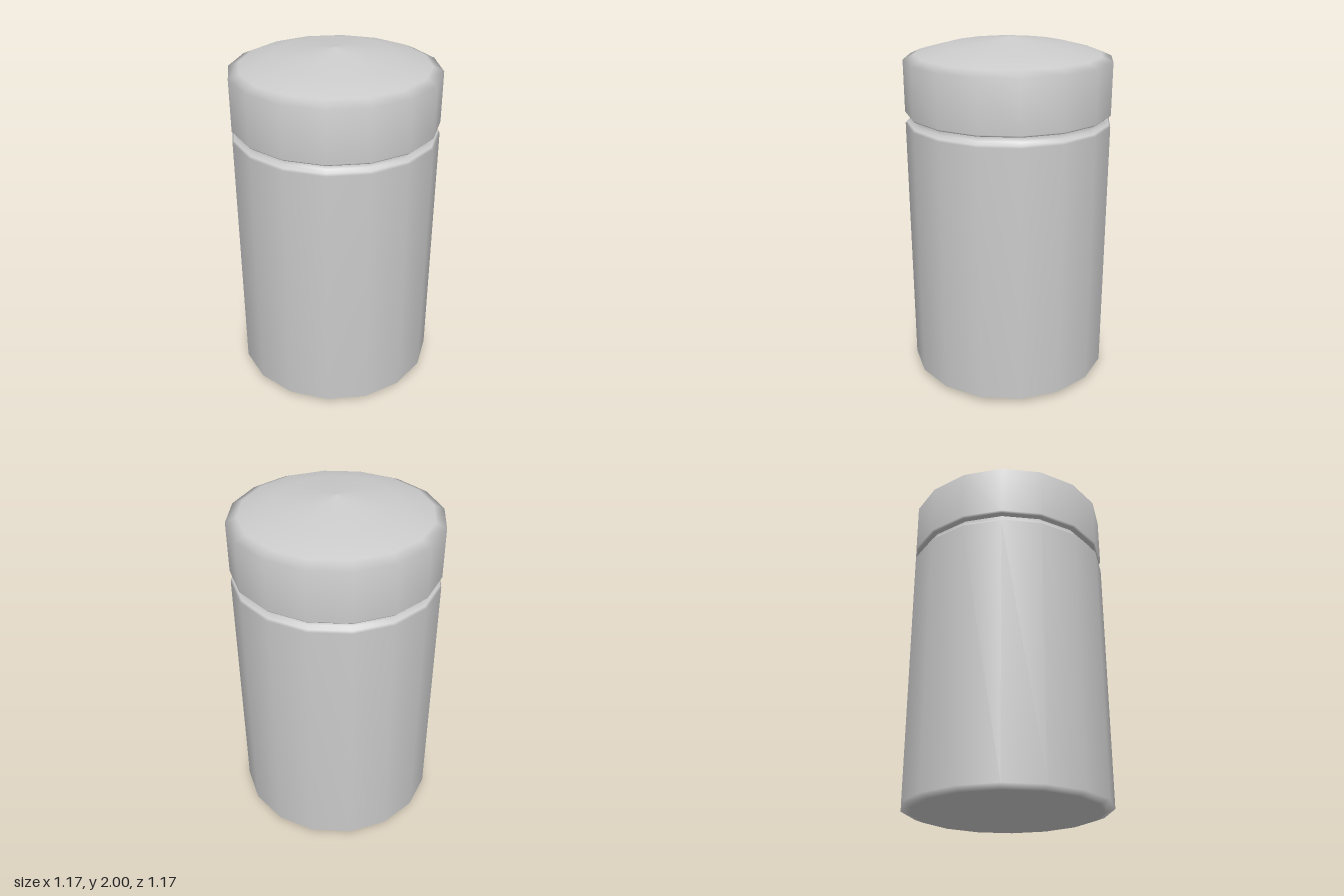
import * as THREE from 'three';

const SIDES = 16;
const material = new THREE.MeshStandardMaterial({ color: 0xcccccc });

// Smooth-shaded 16-sided turned part from [radius, height] pairs, bottom to top
function turned(name, profile) {
  const points = profile.map(([r, y]) => new THREE.Vector2(r, y));
  const mesh = new THREE.Mesh(new THREE.LatheGeometry(points, SIDES), material);
  mesh.name = name;
  return mesh;
}

export function createModel() {
  const group = new THREE.Group();
  group.name = 'canister';

  // Body with bevelled base, rounded shoulder and recessed neck
  group.add(turned('body', [
    [0, 0], [0.35, 0.008], [0.53, 0.015], [0.585, 0.035],
    [0.585, 1.525], [0.575, 1.537], [0.55, 1.548], [0.55, 1.575],
  ]));

  // Lid with a small underside lip and a shallow domed top
  group.add(turned('lid', [
    [0.55, 1.575], [0.575, 1.58], [0.585, 1.59], [0.585, 1.88],
    [0.525, 1.907], [0.35, 1.953], [0, 2],
  ]));

  return group;
}
